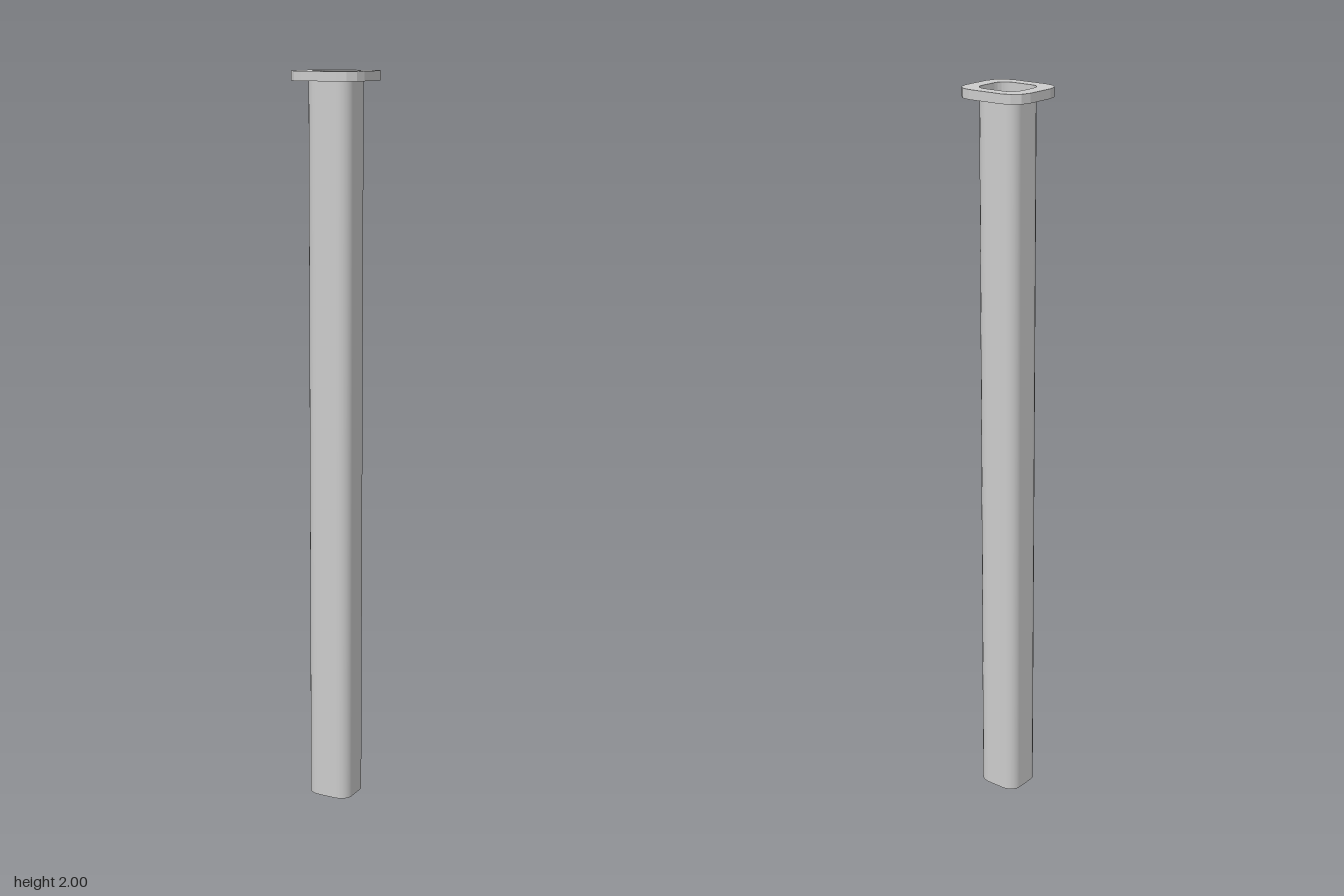
import * as THREE from 'three';

const material = new THREE.MeshStandardMaterial({ color: 0xcccccc, side: THREE.DoubleSide });

const HEIGHT = 2;
const FLANGE = 0.025;
const FLOOR_Y = HEIGHT - FLANGE;
const OUTER = { w: 0.103, d: 0.094, r: 0.053, steps: 3 };
const INNER = { w: 0.063, d: 0.0585, r: 0.034, steps: 5 };

// Points of a rounded rectangle, with the outward direction at each
function outline({ w, d, r, steps }) {
  const points = [];
  for (let corner = 0; corner < 4; corner++) {
    const sx = corner === 0 || corner === 3 ? 1 : -1;
    const sy = corner < 2 ? 1 : -1;
    for (let i = 0; i <= steps; i++) {
      const a = (corner + i / steps) * Math.PI / 2;
      const nx = Math.cos(a), ny = Math.sin(a);
      points.push({ x: sx * (w - r) + r * nx, y: sy * (d - r) + r * ny, nx, ny });
    }
  }
  return points;
}

const vectors = (section) => outline(section).map((p) => new THREE.Vector2(p.x, p.y));

// Open tube: a cylinder whose rings are moved onto the rounded rectangle
function tubeGeometry(section, height) {
  const ring = outline(section);
  const n = ring.length;
  const geometry = new THREE.CylinderGeometry(1, 1, height, n, 1, true);
  geometry.translate(0, height / 2, 0);
  const { position, normal } = geometry.attributes;
  for (let i = 0; i < position.count; i++) {
    const p = ring[(i % (n + 1)) % n];
    // x and z swap keeps the cylinder's own winding
    position.setX(i, p.y * section.w / section.d);
    position.setZ(i, p.x * section.d / section.w);
    normal.setXYZ(i, p.ny, 0, p.nx);
  }
  return geometry;
}

export function createModel() {
  const model = new THREE.Group();
  const add = (name, geometry) => {
    const mesh = new THREE.Mesh(geometry, material);
    mesh.name = name;
    model.add(mesh);
    return mesh;
  };

  // Hollow shaft, open at the foot and running up through the flange
  add('shaft', tubeGeometry(INNER, HEIGHT));

  // Flat collar around the top of the shaft
  const collar = new THREE.Shape(vectors(OUTER));
  collar.holes.push(new THREE.Path(vectors(INNER)));
  const flange = new THREE.ExtrudeGeometry(collar, { depth: FLANGE, bevelEnabled: false });
  flange.rotateX(-Math.PI / 2);
  add('flange', flange).position.y = FLOOR_Y;

  // Floor of the shallow recess in the top
  const floor = new THREE.ShapeGeometry(new THREE.Shape(vectors(INNER)));
  floor.rotateX(-Math.PI / 2);
  add('recessFloor', floor).position.y = FLOOR_Y;

  model.position.z = -0.001;
  return model;
}
